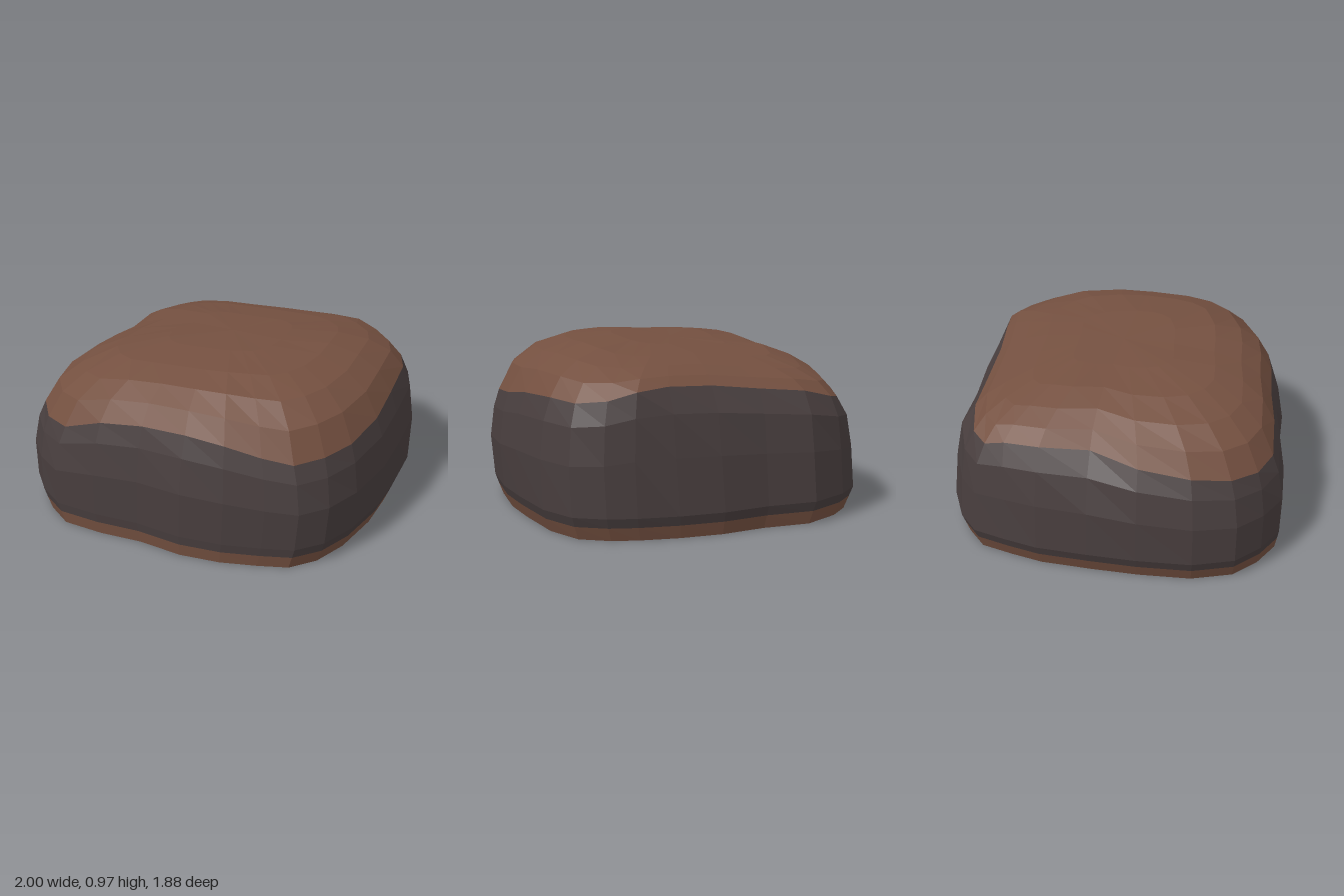
import * as THREE from 'three';

// Widest outline (x, z), then the upper colour edge (x, z, y), round from the back to +x
const OUTLINE = [
  [-0.42, -0.94, -0.43, -0.79, 0.72], [-0.14, -0.90, -0.16, -0.765, 0.75],
  [0.13, -0.90, 0.12, -0.74, 0.785], [0.38, -0.86, 0.38, -0.745, 0.80],
  [0.60, -0.80, 0.56, -0.75, 0.785], [0.75, -0.74, 0.70, -0.69, 0.74],
  [0.90, -0.63, 0.83, -0.57, 0.72], [0.98, -0.42, 0.90, -0.40, 0.73],
  [1.00, -0.10, 0.93, -0.10, 0.71], [1.00, 0.15, 0.94, 0.15, 0.67],
  [0.95, 0.45, 0.90, 0.43, 0.64], [0.87, 0.65, 0.82, 0.61, 0.63],
  [0.75, 0.78, 0.70, 0.74, 0.62], [0.58, 0.84, 0.54, 0.79, 0.65],
  [0.37, 0.90, 0.35, 0.84, 0.70], [0.13, 0.93, 0.13, 0.855, 0.72],
  [-0.14, 0.91, -0.13, 0.85, 0.71], [-0.40, 0.93, -0.38, 0.865, 0.68],
  [-0.65, 0.92, -0.61, 0.86, 0.60], [-0.81, 0.82, -0.77, 0.78, 0.59],
  [-0.94, 0.68, -0.88, 0.64, 0.60], [-1.00, 0.45, -0.92, 0.43, 0.62],
  [-0.99, 0.15, -0.89, 0.15, 0.65], [-0.96, -0.12, -0.79, -0.11, 0.69],
  [-0.92, -0.40, -0.80, -0.38, 0.70], [-0.86, -0.58, -0.74, -0.58, 0.68],
  [-0.79, -0.76, -0.71, -0.69, 0.65], [-0.65, -0.86, -0.62, -0.765, 0.67],
];

const mix = THREE.MathUtils.lerp;

// Ring of the base: the outline scaled, slightly off centre
const baseRing = (y, sx, sz, dz = 0) => OUTLINE.map(([x, z]) =>
  [x * sx - 0.01, y, z * sz + dz]);

// Ring of the wall: leans from the outline to the upper colour edge, more at the back
const wallRing = (rise, back, front) => OUTLINE.map(([x, z, bx, bz, by]) => {
  const t = mix(back, front, (z + 0.94) / 1.88);
  return [mix(x, bx, t), mix(0.13, by, rise), mix(z, bz, t)];
});

// Sloping, uneven top that falls off towards the back
const topHeight = (x, z) => 0.95 + 0.055 * x + 0.03 * z
  - 0.08 * Math.max(0, -z - 0.2)
  + 0.007 * Math.sin(7 * x + 4 * z) * Math.cos(6 * z - 3 * x);

// Ring of the crown: shrinks inward while it climbs to the top
const crownRing = (s, f) => OUTLINE.map(([, , bx, bz, by]) =>
  [bx * s, mix(by, topHeight(bx * s, bz * s), f), bz * s]);

// Joins a list of rings, lowest first, into a faceted surface
function loft(name, rings, material) {
  const n = OUTLINE.length, pos = [];
  const tri = (...corners) => {
    const [a, b, c] = corners.map(p => new THREE.Vector3(...p));
    if (b.sub(a).cross(c.sub(a)).length() > 1e-9) corners.forEach(p => pos.push(...p));
  };
  for (let r = 0; r + 1 < rings.length; r++) {
    for (let i = 0; i < n; i++) {
      const j = (i + 1) % n;
      const a = rings[r][i], b = rings[r][j], c = rings[r + 1][j], d = rings[r + 1][i];
      tri(a, c, b);
      tri(a, d, c);
    }
  }
  const geometry = new THREE.BufferGeometry();
  geometry.setAttribute('position', new THREE.Float32BufferAttribute(pos, 3));
  geometry.computeVertexNormals();
  const mesh = new THREE.Mesh(geometry, material);
  mesh.name = name;
  return mesh;
}

export function createModel() {
  const brown = new THREE.MeshStandardMaterial({ color: 0x745040 });
  brown.name = 'earth brown';
  const grey = new THREE.MeshStandardMaterial({ color: 0x483e3e });
  grey.name = 'dark stone';

  const rock = new THREE.Group();
  rock.name = 'rock';

  // Underside and thin brown foot
  const foot = baseRing(0.075, 0.97, 0.987, 0.005);
  rock.add(loft('foot', [baseRing(0, 0, 0), baseRing(0, 0.94, 0.97, 0.01), foot], brown));

  // Dark band round the sides
  const edge = wallRing(1, 1, 1);
  rock.add(loft('sideBand', [
    foot, baseRing(0.13, 0.99, 1), wallRing(0.46, 0.18, -0.08), wallRing(0.8, 0.44, 0.4), edge,
  ], grey));

  // Rounded brown top
  rock.add(loft('crown', [
    edge, crownRing(0.92, 0.42), crownRing(0.79, 0.71), crownRing(0.61, 0.91),
    crownRing(0.34, 1), crownRing(0, 1),
  ], brown));

  return rock;
}
